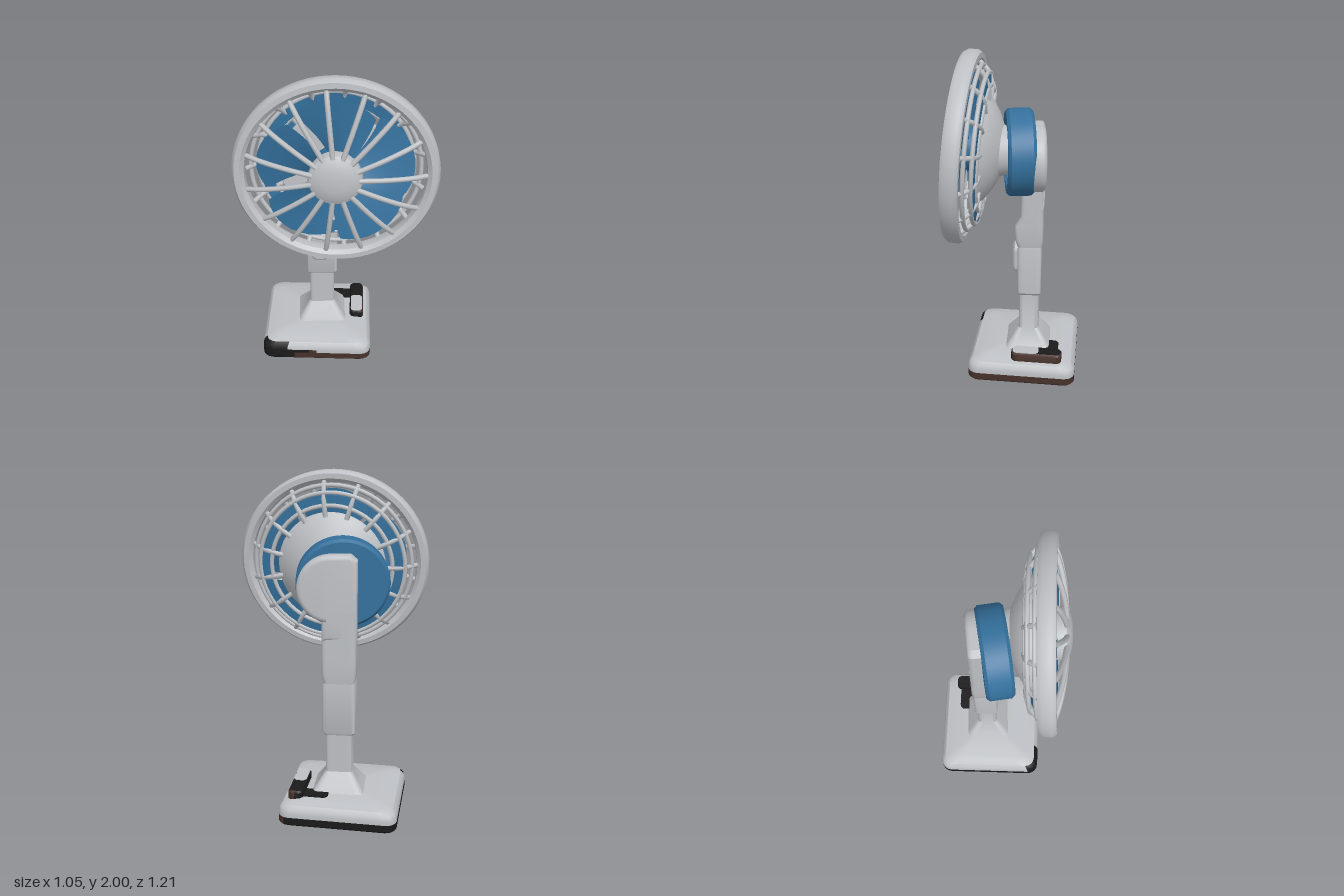
import * as THREE from 'three';
import { toCreasedNormals } from 'three/addons/utils/BufferGeometryUtils.js';

const mat = (name, color, side = THREE.FrontSide) => {
  const m = new THREE.MeshStandardMaterial({ color, side });
  m.name = name;
  return m;
};

export function createModel() {
  const grey = mat('light grey plastic', 0xbdc0c4);
  const blue = mat('blue plastic', 0x34709c, THREE.DoubleSide);
  const brown = mat('dark brown rubber', 0x46312a);
  const black = mat('black rubber', 0x1a1a1a);
  const palette = [grey, brown, black];

  const add = (parent, name, geo, material = grey) => {
    const m = new THREE.Mesh(geo, material);
    m.name = name;
    parent.add(m);
    return m;
  };
  const group = (parent, name, x, y, z) => {
    const g = new THREE.Group();
    g.name = name;
    g.position.set(x, y, z);
    parent.add(g);
    return g;
  };

  // Rounded rectangle outline in x/z, with subdivided straight sides
  const outline = (hx, hz, r) => {
    const corners = [[1, 1], [-1, 1], [-1, -1], [1, -1]];
    const pts = [];
    corners.forEach(([sx, sz], k) => {
      for (let i = 0; i <= 4; i++) {
        const a = (k + i / 4) * Math.PI / 2;
        pts.push([sx * (hx - r) + r * Math.cos(a), sz * (hz - r) + r * Math.sin(a)]);
      }
      const p = pts[pts.length - 1];
      const [nx, nz] = corners[(k + 1) % 4];
      const a = (k + 1) * Math.PI / 2;
      const q = [nx * (hx - r) + r * Math.cos(a), nz * (hz - r) + r * Math.sin(a)];
      for (let i = 1; i < 12; i++) {
        const t = i / 12;
        pts.push([p[0] + (q[0] - p[0]) * t, p[1] + (q[1] - p[1]) * t]);
      }
    });
    return pts;
  };

  // Closed loft through sections [y, halfX, halfZ, radius, shiftZ]; pick chooses a palette index
  const loft = (sections, pick = () => 0) => {
    const pos = [], faces = [[], [], []];
    let n = 0;
    for (const [y, hx, hz, r, dz = 0] of sections) {
      const ring = outline(hx, hz, r);
      n = ring.length;
      ring.forEach(([x, z]) => pos.push(x, y, z + dz));
    }
    const top = (sections.length - 1) * n, cb = pos.length / 3, ct = cb + 1;
    const first = sections[0], last = sections[sections.length - 1];
    pos.push(0, first[0], first[4] || 0, 0, last[0], last[4] || 0);
    const face = (...v) => {
      const mid = [0, 1, 2].map(k => v.reduce((s, i) => s + pos[i * 3 + k], 0) / v.length);
      const f = faces[pick(...mid)];
      for (let i = 2; i < v.length; i++) f.push(v[0], v[i - 1], v[i]);
    };
    for (let i = 0; i < n; i++) {
      const j = (i + 1) % n;
      for (let s = 0; s < top; s += n) face(s + i, s + n + i, s + n + j, s + j);
      face(cb, i, j);
      face(ct, top + j, top + i);
    }
    const g = new THREE.BufferGeometry();
    g.setAttribute('position', new THREE.Float32BufferAttribute(pos, 3));
    g.setIndex(faces.flat());
    let start = 0;
    faces.forEach((f, k) => { g.addGroup(start, f.length, k); start += f.length; });
    return toCreasedNormals(g, 0.6);
  };

  // Lathe around z from [radius, z] points, back to front
  const turned = (pts, seg = 56) => toCreasedNormals(
    new THREE.LatheGeometry(pts.map(p => new THREE.Vector2(...p)), seg).rotateX(Math.PI / 2), 0.6);

  const model = new THREE.Group();
  model.name = 'deskFan';
  const body = group(model, 'fanBody', 0, 0, 0);
  body.rotation.y = -Math.PI / 4;

  // Base: rubber foot with a scuffed corner, rounded cover and raised panel
  const base = group(body, 'base', -0.064, 0, -0.163);
  add(base, 'footRim', loft([[0, 0.342, 0.322, 0.06], [0.01, 0.35, 0.33, 0.065], [0.052, 0.35, 0.33, 0.065]],
    (x, y, z) => y > 0.002 && (x > 0.3 || (x > -0.12 && z > 0)) ? 1 : 2), palette);
  add(base, 'baseCover', loft([[0.052, 0.35, 0.33, 0.065], [0.075, 0.35, 0.33, 0.065], [0.1, 0.344, 0.324, 0.065],
    [0.122, 0.325, 0.305, 0.06], [0.13, 0.29, 0.27, 0.05], [0.14, 0.26, 0.24, 0.04]],
    (x, y, z) => z > 0.25 && y < 0.118 && (x < -0.2 || (x < -0.06 && y < 0.07)) ? 2
      : z > 0.25 && y < 0.07 && x < 0.02 ? 1 : 0), palette);
  // Long low knob on the base: brown outer side, black ends, half black top
  const knob = group(base, 'baseKnob', 0.257, 0, -0.092);
  add(knob, 'knobBody', loft([[0.12, 0.045, 0.155, 0.03], [0.172, 0.045, 0.155, 0.03], [0.184, 0.037, 0.147, 0.026]],
    (x, y, z) => y > 0.18 ? 2 : x > 0.005 && z < 0.148 ? 1 : 2), palette);
  const knobTop = add(knob, 'knobTopPlate', loft([[0.18, 0.038, 0.08, 0.026], [0.187, 0.038, 0.08, 0.026]]));
  knobTop.position.z = 0.067;
  const pad = add(base, 'knobPad', loft([[0.125, 0.1, 0.045, 0.03], [0.148, 0.1, 0.045, 0.03]]), black);
  pad.position.set(0.17, 0, -0.175);

  // Stand: flared foot, post, sleeve and shoulder
  const stand = group(body, 'stand', -0.039, 0, -0.186);
  stand.rotation.y = 0.05;
  add(stand, 'post', loft([[0.135, 0.155, 0.14, 0.03], [0.16, 0.14, 0.125, 0.03], [0.25, 0.08, 0.062, 0.02],
    [0.52, 0.078, 0.06, 0.02]]));
  add(stand, 'sleeve', loft([[0.49, 0.086, 0.066, 0.02], [0.505, 0.097, 0.073, 0.022], [0.8, 0.097, 0.073, 0.022],
    [0.83, 0.09, 0.07, 0.022]]));
  add(stand, 'shoulder', loft([[0.815, 0.092, 0.074, 0.025], [0.87, 0.101, 0.085, 0.025, 0.005],
    [0.96, 0.101, 0.085, 0.025, 0.005], [1.02, 0.101, 0.066, 0.025, -0.012], [1.25, 0.1, 0.064, 0.025, -0.012]]));
  const button = add(stand, 'switchButton', loft([[0, 0.06, 0.095, 0.04], [0.03, 0.06, 0.095, 0.04], [0.04, 0.048, 0.083, 0.035]]));
  button.rotation.x = Math.PI / 2;
  button.position.set(-0.01, 0.715, 0.062);

  // Arm with a one-sided round boss behind the motor
  const armShape = new THREE.Shape();
  armShape.moveTo(-0.075, 1.1);
  armShape.lineTo(0.075, 1.1);
  armShape.lineTo(0.075, 1.21);
  armShape.absarc(0.05, 1.375, 0.168, -1.42, Math.PI / 2, false);
  armShape.lineTo(-0.055, 1.543);
  armShape.lineTo(-0.075, 1.525);
  const armGeo = new THREE.ExtrudeGeometry(armShape,
    { depth: 0.05, bevelEnabled: true, bevelSize: 0.027, bevelThickness: 0.027, bevelSegments: 4, curveSegments: 24 });
  add(stand, 'arm', toCreasedNormals(armGeo.translate(0, 0, -0.052), 0.6)).rotation.y = 0.08;

  // Motor drum
  const motor = group(body, 'motor', -0.045, 1.393, -0.113);
  motor.rotation.y = 0.18;
  const drum = add(motor, 'motorDrum', turned([[0, -0.08], [0.24, -0.08], [0.256, -0.062], [0.256, 0.062], [0.24, 0.08],
    [0.2, 0.08], [0.19, 0.06], [0, 0.06]]), blue);
  drum.scale.x = 1.06;

  // Fan head, pitched slightly upwards
  const head = group(body, 'fanHead', 0.053, 1.445, 0.188);
  head.rotation.x = -0.065;
  const outerRing = add(head, 'outerRing', turned([[0.488, -0.03], [0.51, -0.05], [0.54, -0.048], [0.555, -0.025],
    [0.555, 0.025], [0.54, 0.048], [0.51, 0.05], [0.488, 0.03], [0.483, 0], [0.488, -0.03]], 72));
  outerRing.scale.x = 1.035;
  add(head, 'rearHousing', turned([[0, -0.27], [0.13, -0.27], [0.15, -0.21], [0.22, -0.18], [0.31, -0.12],
    [0.325, -0.1], [0.315, -0.075], [0, -0.075]]));
  add(head, 'frontHub', turned([[0, 0.03], [0.145, 0.03], [0.152, 0.08], [0.145, 0.1], [0.11, 0.12],
    [0.06, 0.13], [0, 0.133]]));
  add(head, 'bladeHub', turned([[0, -0.08], [0.13, -0.08], [0.13, 0.04], [0, 0.04]]), blue);

  // Grille rings behind the blades, and a blue band between them
  [[0.475, -0.06], [0.438, -0.1], [0.365, -0.115]].forEach(([r, z], i) => {
    add(head, 'rearGrilleRing' + (i + 1), new THREE.TorusGeometry(r, 0.013, 8, 64)).position.z = z;
  });
  add(head, 'rearBand', turned([[0.37, -0.115], [0.425, -0.11], [0.43, -0.09], [0.37, -0.095], [0.37, -0.115]]), blue);

  // Radial spokes, front and rear
  const spoke = (...pts) => new THREE.TubeGeometry(
    new THREE.CatmullRomCurve3(pts.map(([r, z]) => new THREE.Vector3(r, 0, z))), 14, 0.015, 7, false);
  const frontSpoke = spoke([0.13, 0.1], [0.28, 0.085], [0.42, 0.055], [0.505, 0.02]);
  const rearSpoke = spoke([0.3, -0.12], [0.365, -0.118], [0.44, -0.09], [0.505, -0.02]);
  const count = 15;
  for (let i = 0; i < count; i++) {
    const a = i / count * Math.PI * 2;
    add(head, 'frontSpoke', frontSpoke).rotation.z = a;
    add(head, 'rearSpoke', rearSpoke).rotation.z = a + Math.PI / count;
  }

  // Five broad twisted blades with rounded tips
  const blade = new THREE.PlaneGeometry(1, 1, 8, 10);
  const p = blade.attributes.position;
  for (let i = 0; i < p.count; i++) {
    const t = p.getX(i) + 0.5, s = p.getY(i) * 2;
    const r = 0.12 + t * (0.325 - 0.045 * s * s);
    const a = s * (0.56 + 0.03 * t) + 0.2 * t;
    p.setXYZ(i, r * Math.cos(a), r * Math.sin(a), 0.01 - 0.04 * s);
  }
  blade.computeVertexNormals();
  for (let i = 0; i < 5; i++) {
    add(head, 'blade', blade, blue).rotation.z = i / 5 * Math.PI * 2 + 0.15;
  }
  return model;
}
